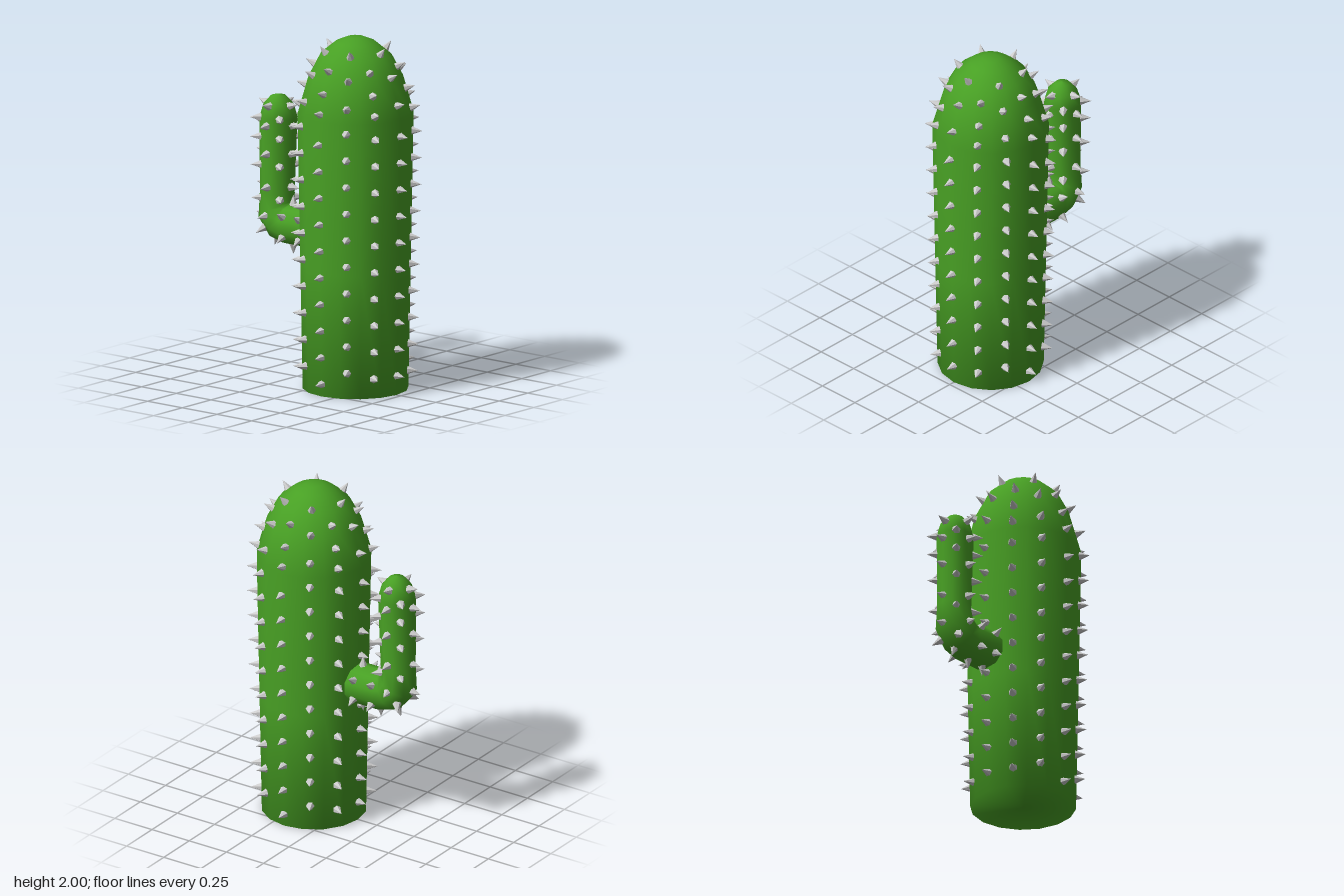
import * as THREE from 'three';
import { mergeGeometries } from 'three/addons/utils/BufferGeometryUtils.js';

const CENTER_X = 0.172, ARM_X = -0.395, ARM_Z = -0.01;
const UP = new THREE.Vector3(0, 1, 0);
const TRUNK = [[0, 0], [0.295, 0], [0.308, 0.7], [0.324, 1.57], [0.265, 1.777],
  [0.2, 1.9], [0.112, 1.973], [0.047, 2], [0, 2]];

// Arm cross-sections: outer x, y and inner x, y
const ARM = [
  [0.02, 0.743, 0.02, 0.975], [-0.31, 0.743, -0.3, 0.975], [-0.41, 0.77, -0.3, 0.977],
  [-0.5, 0.875, -0.302, 0.985], [-0.498, 1.03, -0.304, 1.03], [-0.498, 1.46, -0.287, 1.46],
  [-0.475, 1.535, -0.307, 1.535], [-0.435, 1.58, -0.35, 1.58], [-0.393, 1.59, -0.391, 1.59],
];

// Sweeps a round section through outer/inner point pairs
function sweep(sections, sides) {
  const pos = [], index = [];
  sections.forEach(([ox, oy, ix, iy], i) => {
    const r = Math.hypot(ox - ix, oy - iy) / 2;
    for (let j = 0; j < sides; j++) {
      const t = (j / sides) * Math.PI * 2, c = Math.cos(t) / 2;
      pos.push((ox + ix) / 2 + (ox - ix) * c, (oy + iy) / 2 + (oy - iy) * c, ARM_Z + r * Math.sin(t));
      if (i < sections.length - 1) {
        const k = (j + 1) % sides, a = i * sides + j, b = i * sides + k;
        index.push(a, b, a + sides, b, b + sides, a + sides);
      }
    }
  });
  const g = new THREE.BufferGeometry();
  g.setAttribute('position', new THREE.Float32BufferAttribute(pos, 3));
  g.setIndex(index);
  g.computeVertexNormals();
  return g;
}

// One thorn with its base on the surface, pointing along the normal
function thorn(x, y, z, nx, ny, nz) {
  const n = new THREE.Vector3(nx, ny, nz).normalize();
  const g = new THREE.ConeGeometry(0.026, 0.065, 6);
  g.translate(0, 0.0225, 0);
  g.applyQuaternion(new THREE.Quaternion().setFromUnitVectors(UP, n));
  return g.translate(x, y, z);
}

// Thorn at a height and angle on a revolved profile of [radius, y]
function thornOn(profile, cx, cz, y, angle) {
  let i = 0;
  while (i < profile.length - 2 && profile[i + 1][1] < y) i++;
  const [r0, y0] = profile[i], [r1, y1] = profile[i + 1];
  const r = r0 + (r1 - r0) * (y - y0) / (y1 - y0);
  const c = Math.cos(angle), s = Math.sin(angle);
  return thorn(cx + r * c, y, cz + r * s, c * (y1 - y0), r0 - r1, s * (y1 - y0));
}

export function createModel() {
  const group = new THREE.Group();
  const green = new THREE.MeshStandardMaterial({ color: 0x48a024 });
  const grey = new THREE.MeshStandardMaterial({ color: 0xcccccc, flatShading: true });
  const add = (name, geometry, material) => {
    const mesh = new THREE.Mesh(geometry, material);
    mesh.name = name;
    group.add(mesh);
    return mesh;
  };

  // Domed trunk, closed at the bottom
  add('trunk', new THREE.LatheGeometry(TRUNK.map(([r, y]) => new THREE.Vector2(r, y)), 16), green)
    .position.x = CENTER_X;

  // Bent side arm
  add('arm', sweep(ARM, 10), green);

  // Trunk thorns: twelve staggered columns
  const trunkThorns = [];
  const starts = [0.11, 0.11, 0.145, 0.07, 0.145, 0.11];
  for (let k = 0; k < 12; k++) {
    const rows = Array.from({ length: 10 }, (_, i) => starts[k % 6] + i * 0.152);
    rows.push(...(k % 2 ? [1.61, 1.72, 1.84] : [1.65, 1.8, 1.92]));
    for (const y of rows) trunkThorns.push(thornOn(TRUNK, CENTER_X, 0, y, k * Math.PI / 6));
  }
  add('trunkThorns', mergeGeometries(trunkThorns), grey);

  // Arm thorns: eight columns on the upright part
  const armThorns = [];
  const upright = [[0.098, 0.9], [0.098, 1.03], [0.105, 1.46], [0.084, 1.535], [0.043, 1.58]];
  for (let k = 0; k < 8; k++) {
    for (const y of k % 2 ? [1.0, 1.19, 1.35, 1.46] : [1.07, 1.26, 1.42, 1.53]) {
      armThorns.push(thornOn(upright, ARM_X, ARM_Z, y, k * Math.PI / 4));
    }
  }
  // Rings of six on the level part
  for (const x of [-0.285, -0.165]) {
    for (let k = 0; k < 6; k++) {
      const a = Math.PI / 6 + k * Math.PI / 3, c = Math.cos(a), s = Math.sin(a);
      armThorns.push(thorn(x, 0.859 + 0.114 * s, ARM_Z + 0.114 * c, 0, s, c));
    }
  }
  // Elbow thorns
  armThorns.push(thorn(-0.4, 0.775, ARM_Z, -0.4, -1, 0), thorn(-0.498, 0.9, ARM_Z, -1, -0.1, 0));
  for (const s of [-1, 1]) {
    armThorns.push(thorn(-0.4, 0.91, ARM_Z + s * 0.108, -0.2, -0.1, s));
    armThorns.push(thorn(-0.44, 0.83, ARM_Z + s * 0.07, -0.6, -0.6, s * 0.8));
  }
  add('armThorns', mergeGeometries(armThorns), grey);

  return group;
}
